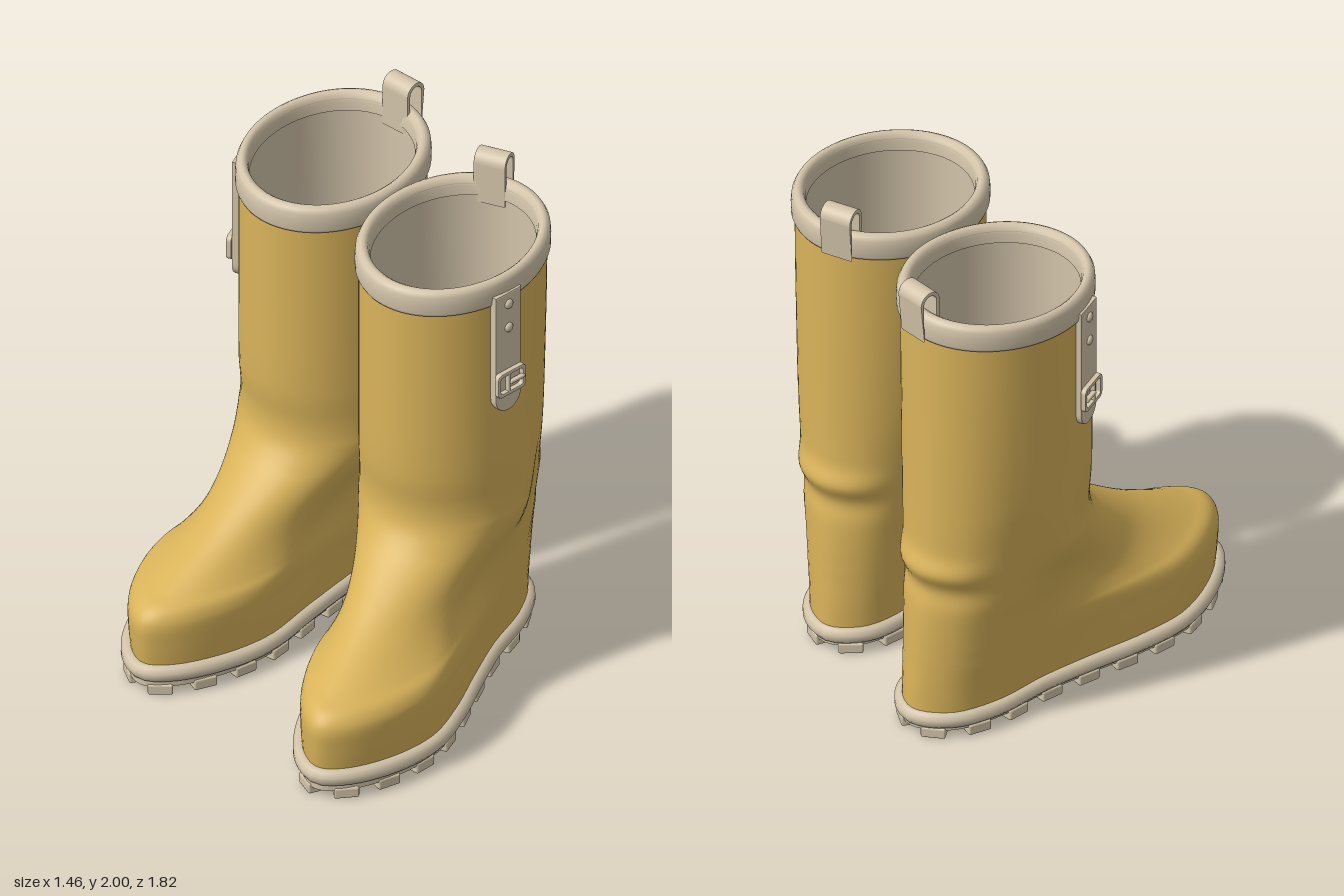
import * as THREE from 'three';
import { mergeVertices } from 'three/addons/utils/BufferGeometryUtils.js';
import { RoundedBoxGeometry } from 'three/addons/geometries/RoundedBoxGeometry.js';

const rubber = new THREE.MeshStandardMaterial({ color: 0xd9b35a });
rubber.name = 'yellow rubber';
const cream = new THREE.MeshStandardMaterial({ color: 0xd3c4aa });
cream.name = 'cream trim';

const N = 80; // points around each cross-section
const smooth = (x, a, b) => THREE.MathUtils.smoothstep(x, a, b);
const bell = (x) => Math.exp(-x * x);

// Sole outline (x, z): heel, outer side, toe, inner side
const outline = new THREE.CatmullRomCurve3([
  [0.28, -0.70], [0.43, -0.63], [0.52, -0.45], [0.56, -0.2], [0.62, 0.02], [0.69, 0.25], [0.722, 0.47],
  [0.66, 0.70], [0.55, 0.86], [0.45, 0.91], [0.34, 0.85], [0.22, 0.68], [0.145, 0.47], [0.135, 0.2],
  [0.12, -0.1], [0.095, -0.4], [0.15, -0.61],
].map(([x, z]) => new THREE.Vector3(x, 0, z)), true);
const midX = (z) => 0.28 + 0.105 * (z + 0.7); // centre line of the foot
const inset = (p, sx, sz, y) =>
  new THREE.Vector3(midX(p.z) + (p.x - midX(p.z)) * sx, y, 0.1 + (p.z - 0.1) * sz);
const soleRing = Array.from({ length: N }, (_, i) => outline.getPoint(i / N));

// Upper: height, then how far the front and the back have moved from sole outline to shaft ellipse
const profile = new THREE.CatmullRomCurve3([
  [0.08, 0.02, 0], [0.2, 0, 0.08], [0.3, 0, 0.2], [0.345, 0.05, 0.24], [0.38, 0.17, 0.28], [0.43, 0.33, 0.33],
  [0.5, 0.53, 0.42], [0.57, 0.69, 0.52], [0.64, 0.83, 0.58], [0.70, 0.93, 0.64], [0.77, 1, 0.69],
  [0.85, 1.02, 0.75], [1, 1, 0.85], [1.4, 1, 0.95], [1.8, 1, 1],
].map((p) => new THREE.Vector3(...p)));
const levels = profile.getPoints(70);

// One horizontal cross-section, scaled by s about its own centre
function slice(y, tf, tr, s = 1) {
  const pts = soleRing.map((p) => {
    const q = inset(p, 0.9, 0.965, y);
    const a = Math.atan2((p.x - midX(p.z)) / 0.3, (p.z - 0.1) / 0.8);
    const w = smooth(p.z, -0.35, 0.25);
    const t = THREE.MathUtils.lerp(tr, tf, w);
    const pinch = 1 - 0.27 * w * Math.sin(Math.PI * Math.min(1, Math.max(0, tf)));
    const c = THREE.MathUtils.lerp(midX(q.z), 0.33, t);
    let x = THREE.MathUtils.lerp(q.x, 0.33 + 0.335 * Math.sin(a), t);
    let z = THREE.MathUtils.lerp(q.z, -0.23 + 0.395 * Math.cos(a), t);
    x = c + (x - c) * pinch;
    // ankle crease at the back
    z -= 0.026 * smooth(-z, 0.45, 0.62) * (bell((y - 0.74) / 0.05) - 0.5 * bell((y - 0.64) / 0.05));
    return new THREE.Vector3(x, y, z);
  });
  const m = pts.reduce((sum, p) => sum.add(p), new THREE.Vector3()).divideScalar(N);
  return pts.map((p) => {
    const x = m.x + (p.x - m.x) * s, z = m.z + (p.z - m.z) * s;
    return new THREE.Vector3(x, y + 0.05 * (-0.23 - z) * smooth(y, 1, 1.75), z);
  });
}

// Smooth skin over closed rings; rings listed upward face outward
function loft(rings) {
  const index = [];
  for (let i = 0; i < rings.length - 1; i++) {
    for (let j = 0; j < N; j++) {
      const k = (j + 1) % N;
      const a = i * N + j, b = i * N + k, c = a + N, d = b + N;
      index.push(a, c, b, b, c, d);
    }
  }
  const g = new THREE.BufferGeometry().setFromPoints(rings.flat());
  g.setIndex(index);
  g.computeVertexNormals();
  return g;
}

function add(group, name, geometry, material = cream) {
  const mesh = new THREE.Mesh(geometry, material);
  mesh.name = name;
  group.add(mesh);
  return mesh;
}

function roundRect(path, w, h, r) {
  path.moveTo(-w / 2 + r, -h / 2);
  path.absarc(w / 2 - r, -h / 2 + r, r, -Math.PI / 2, 0);
  path.absarc(w / 2 - r, h / 2 - r, r, 0, Math.PI / 2);
  path.absarc(-w / 2 + r, h / 2 - r, r, Math.PI / 2, Math.PI);
  path.absarc(-w / 2 + r, -h / 2 + r, r, Math.PI, Math.PI * 1.5);
  return path;
}
const extrude = (shape, depth, bevel) => new THREE.ExtrudeGeometry(shape, {
  depth, bevelEnabled: bevel > 0, bevelSize: bevel, bevelThickness: bevel, bevelOffset: -bevel,
  bevelSegments: 2, curveSegments: 12,
});

function createBoot() {
  const boot = new THREE.Group();

  // Upper, lining and rolled collar
  add(boot, 'upper', loft(levels.map((l) => slice(l.x, l.y, l.z))), rubber);
  const inner = levels.filter((l) => l.x > 0.14).map((l) => slice(l.x, l.y, l.z, 0.89)).reverse();
  const floor = slice(0.14, 0, 0.04, 0.89);
  add(boot, 'lining', loft([slice(1.85, 1, 1, 0.89), ...inner, floor, slice(0.14, 0, 0.04, 0.001)]));
  add(boot, 'collar', loft([[1.765, -0.005], [1.768, 0.008], [1.78, 0.013], [1.82, 0.014], [1.85, 0.011],
    [1.865, 0.003], [1.872, -0.01], [1.872, -0.022], [1.862, -0.035], [1.84, -0.042], [1.8, -0.045]]
    .map(([y, off]) => slice(y, 1, 1, 1 + off / 0.36))));

  // Sole plate and welt
  const plate = new THREE.Shape(soleRing.map((p) => {
    const q = inset(p, 0.93, 0.975, 0);
    return new THREE.Vector2(q.x, -q.z);
  }));
  add(boot, 'solePlate', extrude(plate, 0.05, 0).rotateX(-Math.PI / 2)).position.y = 0.035;
  const weltPath = new THREE.CatmullRomCurve3(soleRing.filter((_, i) => i % 2 === 0)
    .map((p) => inset(p, 0.89, 0.958, 0.078 + 0.012 * smooth(p.z, 0.4, 0.9))), true);
  add(boot, 'welt', new THREE.TubeGeometry(weltPath, 100, 0.034, 10, true));

  // Tread: lugs round the edge and bars across the middle
  const lugs = 20;
  for (let i = 0; i < lugs; i++) {
    const u = (i + 0.5) / lugs;
    const t = outline.getTangentAt(u);
    const lug = add(boot, 'treadLug', new RoundedBoxGeometry(0.095, 0.045, 0.055, 1, 0.008));
    lug.position.copy(inset(outline.getPointAt(u), 0.86, 0.945, 0.0225));
    lug.rotation.y = Math.atan2(-t.z, t.x);
  }
  for (let i = 0; i < 9; i++) {
    const z = -0.5 + i * 0.15;
    const width = 0.2 + 0.08 * smooth(z, -0.2, 0.3) - 0.1 * smooth(z, 0.5, 0.75);
    const bar = add(boot, 'treadBar', new RoundedBoxGeometry(width, 0.04, 0.04, 1, 0.008));
    bar.position.set(midX(z), 0.02, z);
    bar.rotation.y = 0.1;
  }

  // Pull loop over the back of the rim
  const arch = new THREE.Shape();
  arch.moveTo(0.047, 1.785);
  arch.absarc(0, 1.953, 0.047, 0, Math.PI);
  arch.lineTo(-0.047, 1.785);
  arch.lineTo(-0.03, 1.785);
  arch.absarc(0, 1.953, 0.03, Math.PI, 0, true);
  arch.lineTo(0.03, 1.785);
  const loop = add(boot, 'pullLoop', extrude(arch, 0.122, 0.004).translate(0, 0, -0.061).rotateY(Math.PI / 2));
  loop.position.set(0.265, 0, -0.61);
  loop.rotation.y = 0.17;

  // Side strap with rivets and buckle
  const side = new THREE.Group();
  side.name = 'sideStrap';
  side.position.set(0.643, 0, -0.1);
  side.rotation.y = 1.35;
  boot.add(side);
  const tongue = new THREE.Shape();
  tongue.moveTo(0.066, 1.8);
  tongue.lineTo(-0.066, 1.8);
  tongue.absarc(0, 1.336, 0.066, Math.PI, Math.PI * 2);
  add(side, 'strap', extrude(tongue, 0.02, 0.006));
  for (const y of [1.75, 1.645]) {
    const rivet = add(side, 'rivet', new THREE.SphereGeometry(0.02, 14, 8));
    rivet.scale.z = 0.6;
    rivet.position.set(0, y, 0.027);
  }
  const frame = roundRect(new THREE.Shape(), 0.145, 0.105, 0.022);
  frame.holes.push(roundRect(new THREE.Path(), 0.113, 0.073, 0.012));
  add(side, 'buckleFrame', extrude(frame, 0.014, 0.004)).position.set(0, 1.408, 0.028);
  add(side, 'buckleBar', new RoundedBoxGeometry(0.014, 0.095, 0.02, 2, 0.005)).position.set(-0.012, 1.408, 0.035);
  add(side, 'bucklePin', new RoundedBoxGeometry(0.075, 0.014, 0.02, 2, 0.005)).position.set(0.027, 1.408, 0.042);
  return boot;
}

// Mirrored copy across x, with the corner order turned round
function mirror(source) {
  const copy = new THREE.Group();
  source.updateMatrixWorld(true);
  source.traverse((o) => {
    if (!o.isMesh) return;
    const g = mergeVertices(o.geometry.clone().applyMatrix4(o.matrixWorld).scale(-1, 1, 1));
    g.clearGroups();
    const ix = g.index.array;
    for (let i = 0; i < ix.length; i += 3) [ix[i], ix[i + 1]] = [ix[i + 1], ix[i]];
    add(copy, o.name, g, o.material);
  });
  return copy;
}

export function createModel() {
  const model = new THREE.Group();
  model.name = 'rainBoots';
  const left = createBoot();
  left.name = 'leftBoot';
  const right = mirror(left);
  right.name = 'rightBoot';
  right.position.set(-0.02, 0, -0.22);
  model.add(left, right);
  return model;
}
